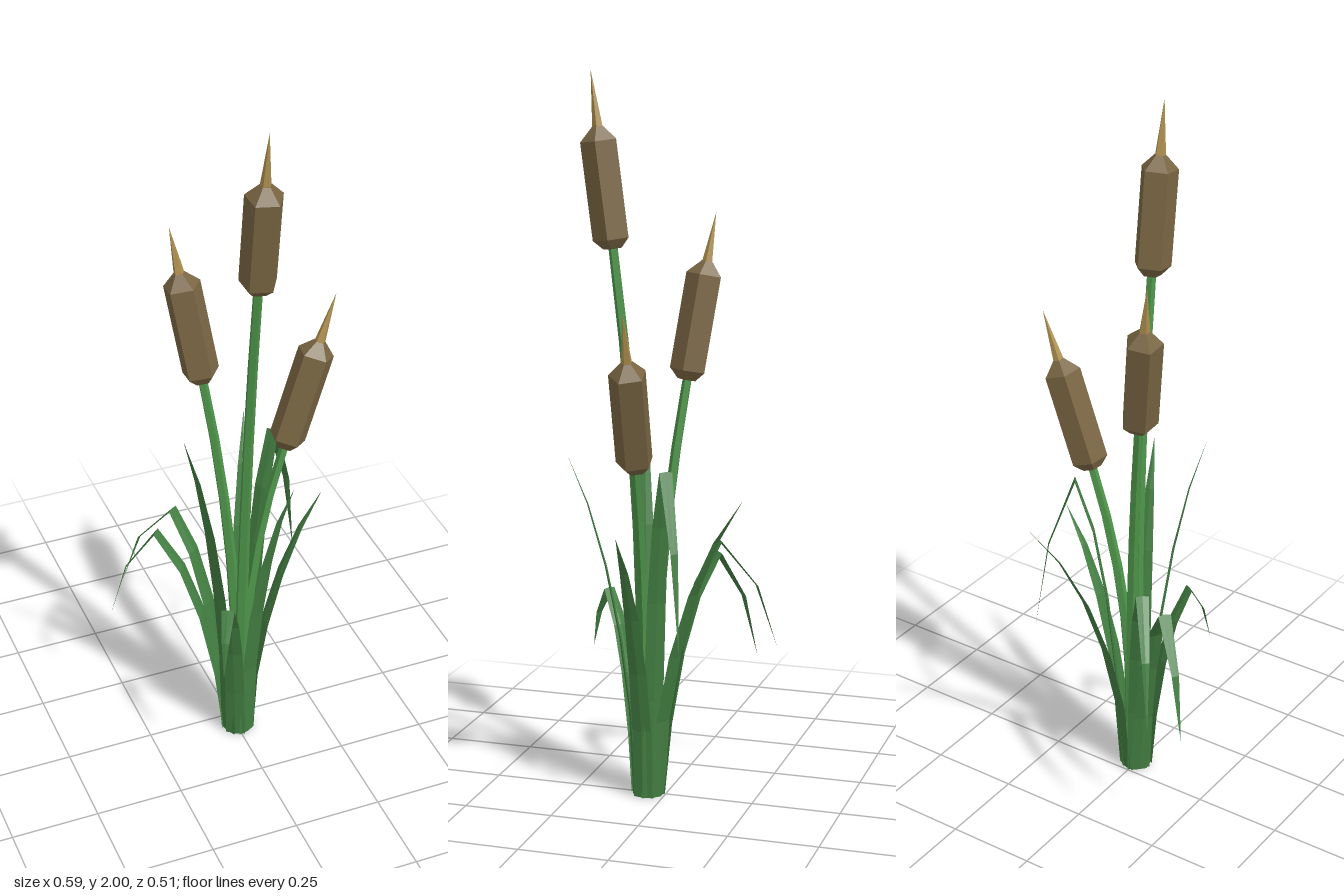
import * as THREE from 'three';

const mat = (name, color) =>
  new THREE.MeshStandardMaterial({ name, color, flatShading: true });

// Faceted loft: an elliptical ring (half sizes a, b) at each point of a path.
function loft(points, sideAxis, sides, size) {
  const n = points.length;
  const rings = points.map((p, i) => {
    const t = points[Math.min(i + 1, n - 1)].clone().sub(points[Math.max(i - 1, 0)]).normalize();
    if (i === 0) t.set(0, 1, 0);
    const u = sideAxis.clone().addScaledVector(t, -sideAxis.dot(t)).normalize();
    const v = t.clone().cross(u);
    const [a, b] = size(i / (n - 1));
    return Array.from({ length: sides }, (_, k) => {
      const ang = (k / sides) * Math.PI * 2;
      return p.clone().addScaledVector(u, a * Math.cos(ang)).addScaledVector(v, b * Math.sin(ang));
    });
  });
  const tris = [];
  for (let i = 0; i < n - 1; i++) {
    for (let k = 0; k < sides; k++) {
      const j = (k + 1) % sides;
      const [p, q, r, s] = [rings[i][k], rings[i][j], rings[i + 1][j], rings[i + 1][k]];
      tris.push(p, q, r, p, r, s);
    }
  }
  // bottom cap
  for (let k = 1; k < sides - 1; k++) tris.push(rings[0][0], rings[0][k + 1], rings[0][k]);
  const g = new THREE.BufferGeometry().setFromPoints(tris);
  g.computeVertexNormals();
  return g;
}

export function createModel() {
  const model = new THREE.Group();
  model.name = 'reedClump';
  const leafGreen = mat('leafGreen', 0x437f42);
  const stemGreen = mat('stemGreen', 0x4e964a);
  const headBrown = mat('headBrown', 0x7a6643);
  const spikeTan = mat('spikeTan', 0xb09250);
  const V = (x, y, z) => new THREE.Vector3(x, y, z);
  const add = (parent, name, geometry, material) => {
    const mesh = new THREE.Mesh(geometry, material);
    mesh.name = name;
    parent.add(mesh);
    return mesh;
  };

  // Flower stalks: foot, head bottom, spike tip, head turn
  const stalks = [
    [V(0.005, 0, 0.066), V(0.02, 1.53, 0.14), V(0.022, 2.0, 0.2), 0.4],
    [V(0.006, 0, 0.036), V(-0.062, 1.17, -0.042), V(-0.128, 1.62, -0.103), 0.28],
    [V(0.032, 0, 0.053), V(0.145, 0.955, 0.038), V(0.293, 1.4, 0.024), 0.14],
  ];
  const headProfile = [[0, 0], [0.027, 0], [0.052, 0.026], [0.052, 0.288], [0.016, 0.325], [0, 0.325]]
    .map(([r, y]) => new THREE.Vector2(r, y));
  for (const [foot, neck, tip, turn] of stalks) {
    const stalk = new THREE.Group();
    stalk.name = 'flowerStalk';
    model.add(stalk);
    const axis = tip.clone().sub(neck);
    const length = axis.length();
    axis.normalize();

    // stem bends gradually into the axis of the head, one edge facing outward
    const bend = neck.clone().addScaledVector(axis, -neck.y * 0.5);
    const path = new THREE.QuadraticBezierCurve3(foot, bend, neck.clone().addScaledVector(axis, 0.01));
    const lean = V(tip.x - foot.x, 0, tip.z - foot.z).normalize();
    add(stalk, 'stem', loft(path.getPoints(6), lean, 5, (t) => {
      const r = 0.019 - 0.006 * t;
      return [r, r];
    }), stemGreen);

    // five-sided seed head and its spike
    const top = new THREE.Group();
    top.name = 'flowerHead';
    top.position.copy(neck);
    top.quaternion.setFromUnitVectors(V(0, 1, 0), axis);
    stalk.add(top);
    add(top, 'seedHead', new THREE.LatheGeometry(headProfile, 5), headBrown).rotation.y = turn;
    const spikeLength = length - 0.315;
    const spike = add(top, 'spike', new THREE.ConeGeometry(0.016, spikeLength, 5), spikeTan);
    spike.position.y = 0.315 + spikeLength / 2;
    spike.rotation.y = turn;
  }

  // Leaves: tip, and for drooping ones the height and outward share of the bend
  const leaves = [
    { tip: V(-0.235, 0.39, -0.255), bend: [0.5, 0.71] },
    { tip: V(-0.297, 0.34, -0.182), bend: [0.59, 0.66] },
    { tip: V(-0.177, 1.1, 0.117) },
    { tip: V(-0.118, 0.38, 0.25), bend: [0.65, 0.56] },
    { tip: V(0.081, 0.97, 0.253) },
    { tip: V(0.144, 0.89, -0.255) },
    { tip: V(0.24, 0.49, -0.111), bend: [0.53, 0.955] },
    { tip: V(0.25, 0.79, 0.06) },
  ];
  const upright = [[0, 0], [0.06, 0.25], [0.21, 0.47], [0.43, 0.68], [0.7, 0.86], [1, 1]];
  const rising = [[0, 0], [0.12, 0.3], [0.34, 0.6], [0.62, 0.83], [1, 1]];
  for (const { tip, bend } of leaves) {
    const out = V(tip.x - 0.005, 0, tip.z - 0.05).normalize();
    const base = V(0.005, 0, 0.05).addScaledVector(out, 0.038);
    let course = upright.map(([f, h]) => [f, h * tip.y]);
    if (bend) {
      const [f, y] = bend;
      course = rising.map(([a, h]) => [a * f, h * y]);
      course.push([f + (1 - f) * 0.65, y + (tip.y - y) * 0.44], [1, tip.y]);
    }
    const points = course.map(([f, y]) => V(
      base.x + (tip.x - base.x) * f, y, base.z + (tip.z - base.z) * f));
    const across = V(0, 1, 0).cross(out);
    add(model, 'leaf', loft(points, across, 4, (t) => {
      const w = 0.028 * (1 - t ** 2.5) + 0.0003;
      return [w, w * 0.15];
    }), leafGreen);
  }
  return model;
}
